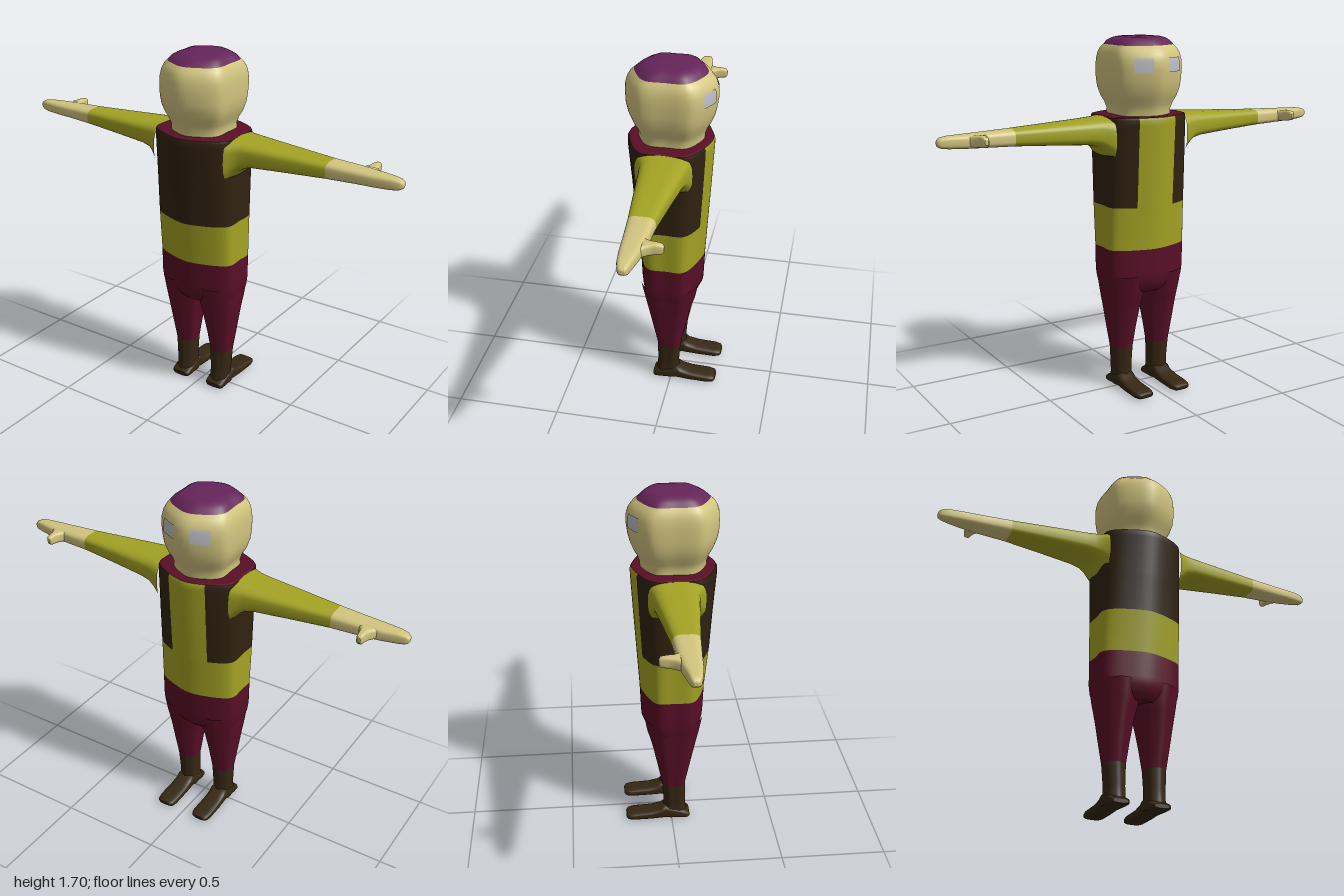
import * as THREE from 'three';

const mat = (name, color, side = THREE.FrontSide) => {
  const m = new THREE.MeshStandardMaterial({ color, side });
  m.name = name;
  return m;
};

// Rounded hexagon section with flat sides and a blunt ridge at both ends
const quarter = [[1, 0], [1, 0.47], [0.88, 0.65], [0.48, 0.87]];
const hexPoints = [
  ...quarter,
  [0, 1], ...quarter.slice(1).reverse().map(([x, z]) => [-x, z]),
  ...quarter.map(([x, z]) => [-x, -z]),
  [0, -1], ...quarter.slice(1).reverse().map(([x, z]) => [x, -z]),
];
const hexCurve = new THREE.CatmullRomCurve3(
  hexPoints.map(([x, z]) => new THREE.Vector3(x, 0, z)), true);
const HEX = Array.from({ length: 64 }, (_, i) => {
  const p = hexCurve.getPoint(i / 64);
  return [p.x, p.z];
});

// Rounded box section
const soft = (v) => Math.sign(v) * Math.abs(v) ** 0.6;
const BOX = Array.from({ length: 32 }, (_, i) => {
  const t = (i / 32) * Math.PI * 2;
  return [soft(Math.cos(t)), soft(Math.sin(t))];
});

// How (a, axis, b) map to x, y, z for each loft axis
const AXES = {
  x: (a, c, b) => [c, b, a],
  y: (a, c, b) => [a, c, b],
  z: (a, c, b) => [b, a, c],
};

// Skin over rings [position, aMin, aMax, bMin, bMax], in ascending order;
// from/to pick a strip of the section, cap closes the 'start', 'end' or 'both'
function loft(rings, { section = HEX, axis = 'y', from = 0, to = section.length, cap = '' } = {}) {
  const pos = [], index = [], n = section.length, cols = to - from;
  const closed = cols === n, w = closed ? n : cols + 1;
  const place = AXES[axis];
  const ringPoint = ([c, a0, a1, b0, b1], i) => {
    const [s, t] = section[(from + i) % n];
    return place((a0 + a1) / 2 + s * (a1 - a0) / 2, c, (b0 + b1) / 2 + t * (b1 - b0) / 2);
  };
  for (const r of rings) for (let i = 0; i < w; i++) pos.push(...ringPoint(r, i));
  for (let k = 0; k + 1 < rings.length; k++) {
    for (let i = 0; i < cols; i++) {
      const p = k * w + i, q = k * w + (closed ? (i + 1) % w : i + 1);
      index.push(p, p + w, q, q, p + w, q + w);
    }
  }
  const addCap = (r, end) => {
    const base = pos.length / 3;
    pos.push(...place((r[1] + r[2]) / 2, r[0], (r[3] + r[4]) / 2));
    for (let i = 0; i < w; i++) pos.push(...ringPoint(r, i));
    for (let i = 0; i < w; i++) {
      const p = base + 1 + i, q = base + 1 + ((i + 1) % w);
      index.push(base, ...(end ? [q, p] : [p, q]));
    }
  };
  if (cap === 'start' || cap === 'both') addCap(rings[0], false);
  if (cap === 'end' || cap === 'both') addCap(rings[rings.length - 1], true);
  const g = new THREE.BufferGeometry();
  g.setAttribute('position', new THREE.Float32BufferAttribute(pos, 3));
  g.setIndex(index);
  g.computeVertexNormals();
  return g;
}

// Copy across x = 0, keeping faces outward
function mirrored(g) {
  const m = g.clone().scale(-1, 1, 1), ix = m.index.array;
  for (let i = 0; i < ix.length; i += 3) [ix[i], ix[i + 1]] = [ix[i + 1], ix[i]];
  m.computeVertexNormals();
  return m;
}

export function createModel() {
  const model = new THREE.Group();
  model.name = 'figure';
  const skin = mat('skin', 0xd2c57f);
  const shirt = mat('shirt green', 0xa3a324);
  const vest = mat('vest brown', 0x2f2210);
  const boot = mat('boot brown', 0x352713);
  const maroon = mat('trouser maroon', 0x590f27);
  const purple = mat('cap purple', 0x652459);
  const grey = mat('eye grey', 0xbcbec6, THREE.DoubleSide);

  const add = (name, geometry, material) => {
    const mesh = new THREE.Mesh(geometry, material);
    mesh.name = name;
    model.add(mesh);
  };
  const addPair = (name, geometry, material) => {
    add(name + 'Left', geometry, material);
    add(name + 'Right', mirrored(geometry), material);
  };

  // Torso: hips, shirt band, open vest, shoulder top
  add('hips', loft([
    [0.49, -0.17, 0.17, -0.1, 0.12],
    [0.51, -0.187, 0.187, -0.12, 0.14],
    [0.55, -0.195, 0.195, -0.138, 0.16],
    [0.59, -0.2, 0.2, -0.14, 0.163],
    [0.71, -0.2, 0.2, -0.145, 0.168],
  ], { cap: 'start' }), maroon);
  const waist = [0.915, -0.2, 0.2, -0.158, 0.19];
  add('shirtBand', loft([[0.71, -0.2, 0.2, -0.145, 0.168], waist]), shirt);
  const chest = [
    waist,
    [1.1, -0.2, 0.2, -0.17, 0.203],
    [1.3, -0.2, 0.2, -0.182, 0.22],
    [1.325, -0.2, 0.2, -0.182, 0.22],
    [1.335, -0.198, 0.198, -0.176, 0.214],
  ];
  add('shirtFront', loft(chest, { from: 44, to: 52 }), shirt);
  add('vest', loft(chest, { from: 52, to: 108 }), vest);
  add('shoulderTop', loft([chest[4], [1.338, -0.19, 0.19, -0.165, 0.2]], { cap: 'end' }), maroon);

  // Head with skull cap
  add('head', loft([
    [1.33, -0.13, 0.13, -0.135, 0.17],
    [1.36, -0.127, 0.127, -0.138, 0.172],
    [1.39, -0.137, 0.137, -0.148, 0.183],
    [1.42, -0.153, 0.153, -0.165, 0.2],
    [1.46, -0.165, 0.165, -0.181, 0.217],
    [1.5, -0.169, 0.169, -0.19, 0.226],
    [1.55, -0.17, 0.17, -0.197, 0.228],
    [1.59, -0.168, 0.168, -0.195, 0.226],
    [1.62, -0.162, 0.162, -0.185, 0.217],
    [1.642, -0.152, 0.152, -0.168, 0.203],
    [1.658, -0.14, 0.14, -0.147, 0.184],
  ]), skin);
  add('skullCap', loft([
    [1.658, -0.14, 0.14, -0.147, 0.184],
    [1.675, -0.127, 0.127, -0.13, 0.165],
    [1.688, -0.108, 0.108, -0.108, 0.138],
    [1.694, -0.085, 0.085, -0.085, 0.11],
    [1.696, -0.04, 0.04, -0.035, 0.06],
  ], { cap: 'end' }), purple);

  // Eyes: thin patches following the face
  addPair('eye', loft([
    [1.54, -0.173, 0.173, -0.2, 0.231],
    [1.555, -0.173, 0.173, -0.2, 0.231],
    [1.59, -0.171, 0.171, -0.198, 0.229],
    [1.605, -0.169, 0.169, -0.194, 0.225],
  ], { from: 50, to: 54 }), grey);

  // Arms stretched along x
  const arm = { section: BOX, axis: 'x' };
  addPair('sleeve', loft([
    [0.19, -0.115, 0.152, 1.14, 1.335],
    [0.205, -0.112, 0.142, 1.158, 1.335],
    [0.225, -0.105, 0.128, 1.18, 1.333],
    [0.255, -0.098, 0.117, 1.202, 1.331],
    [0.3, -0.092, 0.11, 1.213, 1.328],
    [0.45, -0.073, 0.094, 1.223, 1.321],
    [0.66, -0.048, 0.071, 1.235, 1.311],
  ], arm), shirt);
  addPair('hand', loft([
    [0.66, -0.048, 0.071, 1.235, 1.311],
    [0.8, -0.042, 0.06, 1.24, 1.306],
    [0.88, -0.032, 0.055, 1.242, 1.303],
    [0.95, -0.017, 0.046, 1.245, 1.301],
    [0.983, -0.01, 0.037, 1.25, 1.296],
    [0.996, -0.004, 0.03, 1.257, 1.288],
    [1.0, 0.004, 0.022, 1.265, 1.28],
  ], { ...arm, cap: 'end' }), skin);
  addPair('thumb', loft([
    [-0.116, 1.268, 1.29, 0.817, 0.832],
    [-0.108, 1.257, 1.302, 0.81, 0.839],
    [-0.08, 1.253, 1.305, 0.806, 0.843],
    [-0.055, 1.25, 1.304, 0.8, 0.85],
    [-0.03, 1.248, 1.302, 0.78, 0.87],
  ], { section: BOX, axis: 'z', cap: 'start' }), skin);

  // Legs and boots
  const cuff = [0.2, 0.054, 0.15, -0.046, 0.07];
  addPair('trouserLeg', loft([
    cuff,
    [0.3, 0.042, 0.163, -0.066, 0.091],
    [0.4, 0.026, 0.175, -0.087, 0.113],
    [0.46, 0.013, 0.183, -0.102, 0.127],
    [0.5, 0.002, 0.188, -0.115, 0.137],
    [0.58, 0.0, 0.197, -0.13, 0.152],
  ]), maroon);
  addPair('bootShaft', loft([
    [0.01, 0.055, 0.148, -0.04, 0.08],
    [0.06, 0.058, 0.143, -0.04, 0.072],
    [0.1, 0.058, 0.144, -0.038, 0.07],
    cuff,
  ], { cap: 'start' }), boot);
  addPair('foot', loft([
    [-0.228, 0.01, 0.024, 0.075, 0.13],
    [-0.218, 0.003, 0.033, 0.06, 0.145],
    [-0.19, 0, 0.038, 0.054, 0.151],
    [-0.1, 0, 0.044, 0.055, 0.15],
    [-0.05, 0, 0.058, 0.056, 0.148],
    [-0.03, 0, 0.075, 0.056, 0.148],
    [0.05, 0, 0.05, 0.05, 0.153],
    [0.08, 0, 0.035, 0.054, 0.15],
    [0.09, 0.006, 0.026, 0.065, 0.138],
  ], { section: BOX, axis: 'z', cap: 'both' }), boot);

  return model;
}
